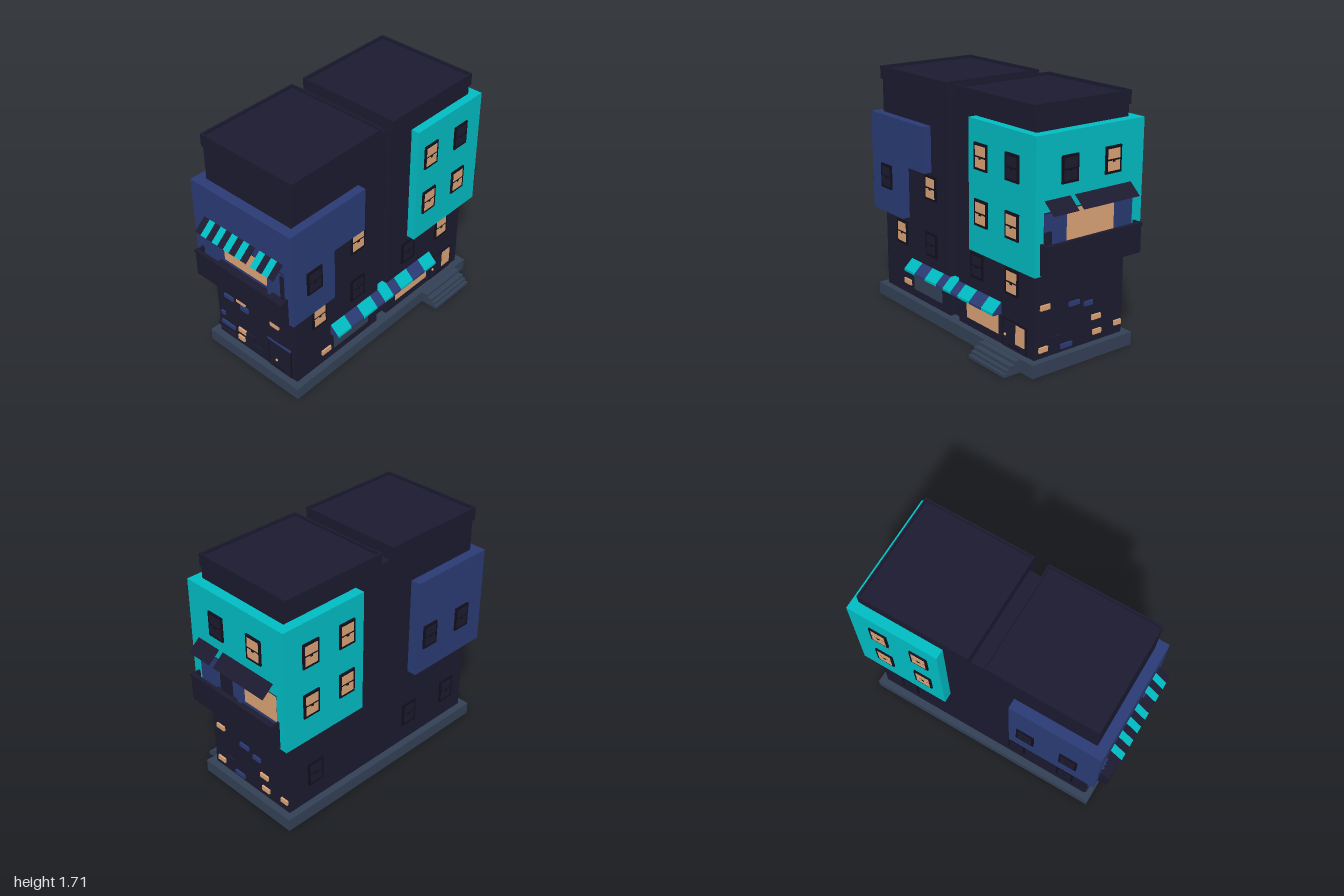
import * as THREE from 'three';

const mat = (name, color) => {
  const m = new THREE.MeshStandardMaterial({ color });
  m.name = name;
  return m;
};

export function createModel() {
  const root = new THREE.Group();
  root.name = 'cornerBuilding';
  const dark = mat('dark wall', 0x1b1a2f);
  const frame = mat('frame black', 0x110f1b);
  const navy = mat('navy', 0x2a3b74);
  const teal = mat('teal', 0x00bbc2);
  const tan = mat('lit tan', 0xdaa275);
  const slate = mat('slate', 0x334055);

  const add = (name, geo, m, parent = root) => {
    const mesh = new THREE.Mesh(geo, m);
    mesh.name = name;
    parent.add(mesh);
    return mesh;
  };
  const box = (name, m, x0, x1, y0, y1, z0, z1, parent = root) => {
    const b = add(name, new THREE.BoxGeometry(x1 - x0, y1 - y0, z1 - z0), m, parent);
    b.position.set((x0 + x1) / 2, (y0 + y1) / 2, (z0 + z1) / 2);
    return b;
  };
  // hollow rectangular wall, open at top and bottom
  const ring = (name, m, x0, x1, y0, y1, z0, z1, t) => {
    const rect = (P, i) => {
      const p = new P();
      p.moveTo(x0 + i, -z1 + i).lineTo(x1 - i, -z1 + i).lineTo(x1 - i, -z0 - i).lineTo(x0 + i, -z0 - i);
      p.closePath();
      return p;
    };
    const s = rect(THREE.Shape, 0);
    s.holes.push(rect(THREE.Path, t));
    const g = new THREE.ExtrudeGeometry(s, { depth: y1 - y0, bevelEnabled: false });
    g.rotateX(-Math.PI / 2);
    return add(name, g, m).translateY(y0);
  };
  // group whose +z points out of the wall
  const facing = (name, x, y, z, turn) => {
    const g = new THREE.Group();
    g.name = name;
    g.position.set(x, y, z);
    g.rotation.y = turn;
    root.add(g);
    return g;
  };
  const RIGHT = Math.PI / 2, LEFT = -Math.PI / 2, BACK = Math.PI;

  // plinth, cross bar and entrance steps
  ring('plinth', slate, -0.47, 0.37, 0, 0.09, -0.89, 0.89, 0.06);
  box('plinthCrossBar', slate, -0.41, 0.31, 0, 0.09, -0.05, 0.05);
  [[0.415, 0.086], [0.455, 0.065], [0.48, 0.043], [0.5, 0.021]].forEach(([x, h]) =>
    box('entranceStep', slate, 0.36, x, 0, h, -0.77, -0.4));

  // two wall blocks, set back behind the balconies, with parapet roofs
  [1, -1].forEach((s) => {
    const span = (a, b) => (s > 0 ? [a, b] : [-b, -a]);
    const [z0, z1] = span(0.05, 0.84);
    ring('lowerWalls', dark, -0.42, 0.32, 0.085, 0.69, z0, z1, 0.02);
    ring('middleWalls', dark, -0.42, 0.32, 0.69, 1.062, ...span(0.05, 0.785), 0.02);
    ring('upperWalls', dark, -0.42, 0.32, 1.062, 1.62, z0, z1, 0.02);
    ring('parapet', dark, -0.44, 0.338, 1.615, 1.705, z0, z1, 0.013);
    box('roof', dark, -0.43, 0.33, 1.615, 1.685, z0 + 0.01, z1 - 0.01);
  });
  box('joiningStrip', dark, -0.42, 0.28, 0.085, 1.61, -0.055, 0.055);

  // coloured upper storeys, each with a recessed balcony; s = +1 front, -1 back
  const storey = (s, m, top, zIn) => {
    const zb = (name, mm, x0, x1, y0, y1, a, b) =>
      box(name, mm, x0, x1, y0, y1, Math.min(s * a, s * b), Math.max(s * a, s * b));
    zb('leftCladding', m, -0.49, -0.415, 0.672, top, zIn, 0.91);
    if (s > 0) {
      zb('rightCladdingUpper', m, 0.315, 0.38, 1.06, top, zIn, 0.91);
      zb('rightCladdingLower', m, 0.315, 0.38, 0.672, 1.06, 0.535, 0.91);
    } else {
      zb('rightCladding', m, 0.315, 0.38, 0.672, top, zIn, 0.91);
    }
    zb('frontCladding', m, -0.415, 0.315, 1.066, top, 0.835, 0.91);
    zb('recessCeiling', dark, -0.415, 0.315, 1.057, 1.066, 0.75, 0.908);
    zb('recessFloor', m, -0.415, 0.315, 0.672, 0.7, 0.835, 0.91);
    zb('recessFloorInner', dark, -0.415, 0.315, 0.68, 0.7, 0.75, 0.835);
    zb('recessWall', navy, -0.415, 0.315, 0.7, 1.058, 0.78, 0.79);
    zb('recessLeftSide', navy, -0.416, -0.41, 0.7, 1.058, 0.785, 0.907);
    zb('recessRightSide', navy, 0.31, 0.316, 0.7, 1.058, 0.785, 0.907);
    zb('balconyWindow', tan, -0.365, 0.027, 0.73, 1.015, 0.79, 0.797);
    zb('balconyDivider', navy, 0.06, 0.075, 0.7, 1.058, 0.79, 0.82);
    zb('balconyDoorPanel', dark, 0.155, 0.27, 0.7, 0.892, 0.79, 0.8);
    // balcony tray with cap rail
    zb('balconyFloor', dark, -0.435, 0.34, 0.68, 0.7, 0.9, 0.975);
    zb('balconyFront', dark, -0.435, 0.34, 0.68, 0.86, 0.958, 0.975);
    zb('balconyRail', dark, -0.44, 0.345, 0.86, 0.88, 0.953, 0.98);
    [[-0.435, -0.42], [0.325, 0.34]].forEach(([a, b]) =>
      zb('balconySide', dark, a, b, 0.68, 0.88, 0.905, 0.97));
    // sloping awning strips
    const g = facing('balconyAwning', 0, 1.103, s * 0.953, s > 0 ? 0 : BACK);
    const strips = (x0, x1, n, first) => {
      const w = (x1 - x0) / n;
      for (let i = 0; i < n; i++) {
        const lit = s > 0 && (i + first) % 2 === 1;
        const p = add('awningStrip', new THREE.PlaneGeometry(w, 0.114), lit ? teal : dark, g);
        p.position.x = s * (x0 + w * (i + 0.5));
        p.rotation.x = -Math.atan2(0.085, 0.075);
      }
    };
    strips(-0.39, 0.075, 9, 0);
    strips(0.11, 0.312, 4, 1);
  };
  storey(1, navy, 1.38, 0.255);
  storey(-1, teal, 1.54, 0.252);

  // sash windows: frame, two panes and a small latch
  const sash = (x, y, z, turn, pane) => {
    const g = facing('sashWindow', x, y, z, turn);
    box('windowFrame', frame, -0.065, 0.065, -0.087, 0.087, -0.01, 0.011, g);
    box('upperPane', pane, -0.05, 0.05, 0.006, 0.07, 0.008, 0.013, g);
    box('lowerPane', pane, -0.05, 0.05, -0.07, -0.006, 0.008, 0.013, g);
    box('latch', frame, -0.01, 0.01, -0.014, 0, 0.008, 0.0145, g);
  };
  [[0.38, 1.31, -0.385, tan], [0.38, 1.31, -0.695, dark], [0.38, 0.945, -0.385, tan],
    [0.38, 0.945, -0.695, tan], [0.38, 0.942, 0.72, dark], [0.32, 0.95, 0.26, tan],
    [0.32, 0.545, 0.625, tan], [0.32, 0.545, 0.26, dark], [0.32, 0.545, -0.26, dark],
    [0.32, 0.545, -0.625, tan]].forEach(([x, y, z, m]) => sash(x, y, z, RIGHT, m));
  [[-0.49, 1.31, -0.4, tan], [-0.49, 1.31, -0.7, tan], [-0.49, 0.945, -0.4, tan],
    [-0.49, 0.945, -0.7, tan], [-0.49, 0.945, 0.38, dark], [-0.49, 0.945, 0.7, dark],
    [-0.42, 0.312, -0.61, dark], [-0.42, 0.312, 0.28, dark],
    [-0.42, 0.312, 0.67, dark]].forEach(([x, y, z, m]) => sash(x, y, z, LEFT, m));
  sash(0.12, 1.31, -0.91, BACK, dark);
  sash(-0.23, 1.31, -0.91, BACK, tan);

  // shop windows
  const shop = (z, w, pane) => {
    const g = facing('shopWindow', 0.32, 0.22, z, RIGHT);
    box('shopFrame', dark, -w / 2 - 0.01, w / 2 + 0.01, -0.085, 0.08, -0.005, 0.002, g);
    box('shopPane', pane, -w / 2, w / 2, -0.072, 0.075, 0, 0.004, g);
  };
  shop(0.318, 0.345, slate);
  shop(-0.315, 0.345, tan);

  // striped shop awning with end caps
  const edges = [0.515, 0.385, 0.26, 0.125, 0.045, -0.045, -0.125, -0.255, -0.385, -0.51];
  const profile = new THREE.Shape([[0.28, 0.375], [0.32, 0.375], [0.388, 0.312], [0.388, 0.295], [0.28, 0.295]]
    .map(([x, y]) => new THREE.Vector2(x, y)));
  const wedge = (name, m, z0, z1) =>
    add(name, new THREE.ExtrudeGeometry(profile, { depth: z1 - z0, bevelEnabled: false }), m).translateZ(z0);
  for (let i = 0; i < 9; i++) wedge('shopAwningStripe', i % 2 ? navy : teal, edges[i + 1], edges[i]);
  wedge('shopAwningEnd', navy, 0.515, 0.518);
  wedge('shopAwningEnd', navy, -0.513, -0.51);

  // ground floor doors
  const door = (x, z, turn, w, h, knobX) => {
    const g = facing('door', x, 0.09, z, turn);
    box('doorFrame', frame, -w / 2, w / 2, 0, h, -0.01, 0.003, g);
    box('doorLeaf', dark, -w / 2 + 0.008, w / 2 - 0.008, 0, h - 0.008, 0, 0.005, g);
    const knob = add('doorKnob', new THREE.SphereGeometry(0.01, 10, 8), tan, g);
    knob.position.set(knobX, 0.085, 0.006);
    box('doorSill', frame, -w / 4, w / 4, 0.02, 0.026, 0.003, 0.007, g);
    return g;
  };
  const front = door(0.167, 0.84, 0, 0.215, 0.25, -0.027);
  box('doorLintel', navy, -0.107, 0.107, 0.235, 0.25, 0, 0.008, front);
  const side = door(0.32, -0.65, RIGHT, 0.24, 0.195, -0.09);
  box('doorGlass', tan, 0.015, 0.103, 0.05, 0.18, 0.003, 0.008, side);

  // loose bricks set through the walls: x, y, width, height, colour
  const bricks = (list, z) => list.forEach(([x, y, w, h, m]) =>
    box('brick', m, x - w / 2, x + w / 2, y - h / 2, y + h / 2, z - 0.025, z + 0.025));
  bricks([[-0.18, 0.495, 0.08, 0.036, tan], [0.135, 0.484, 0.075, 0.032, tan],
    [-0.187, 0.226, 0.07, 0.035, tan], [-0.2, 0.152, 0.06, 0.036, tan],
    [-0.3, 0.464, 0.085, 0.028, navy], [-0.15, 0.446, 0.07, 0.038, navy],
    [-0.37, 0.285, 0.035, 0.028, navy], [-0.325, 0.2, 0.125, 0.028, navy],
    [-0.105, 0.227, 0.08, 0.03, dark], [-0.04, 0.16, 0.08, 0.028, dark],
    [-0.38, 0.163, 0.09, 0.03, dark], [-0.33, 0.132, 0.14, 0.014, dark]], 0.828);
  bricks([[0.24, 0.43, 0.075, 0.034, tan], [0.25, 0.15, 0.07, 0.034, tan],
    [-0.19, 0.26, 0.075, 0.034, tan], [-0.2, 0.155, 0.07, 0.034, tan],
    [-0.38, 0.17, 0.06, 0.034, tan], [0, 0.4, 0.085, 0.03, navy],
    [-0.12, 0.37, 0.07, 0.03, navy], [0.06, 0.13, 0.09, 0.03, navy],
    [0.15, 0.2, 0.08, 0.03, dark]], -0.828);
  box('sideBrick', tan, 0.29, 0.332, 0.165, 0.202, 0.525, 0.607);

  return root;
}
